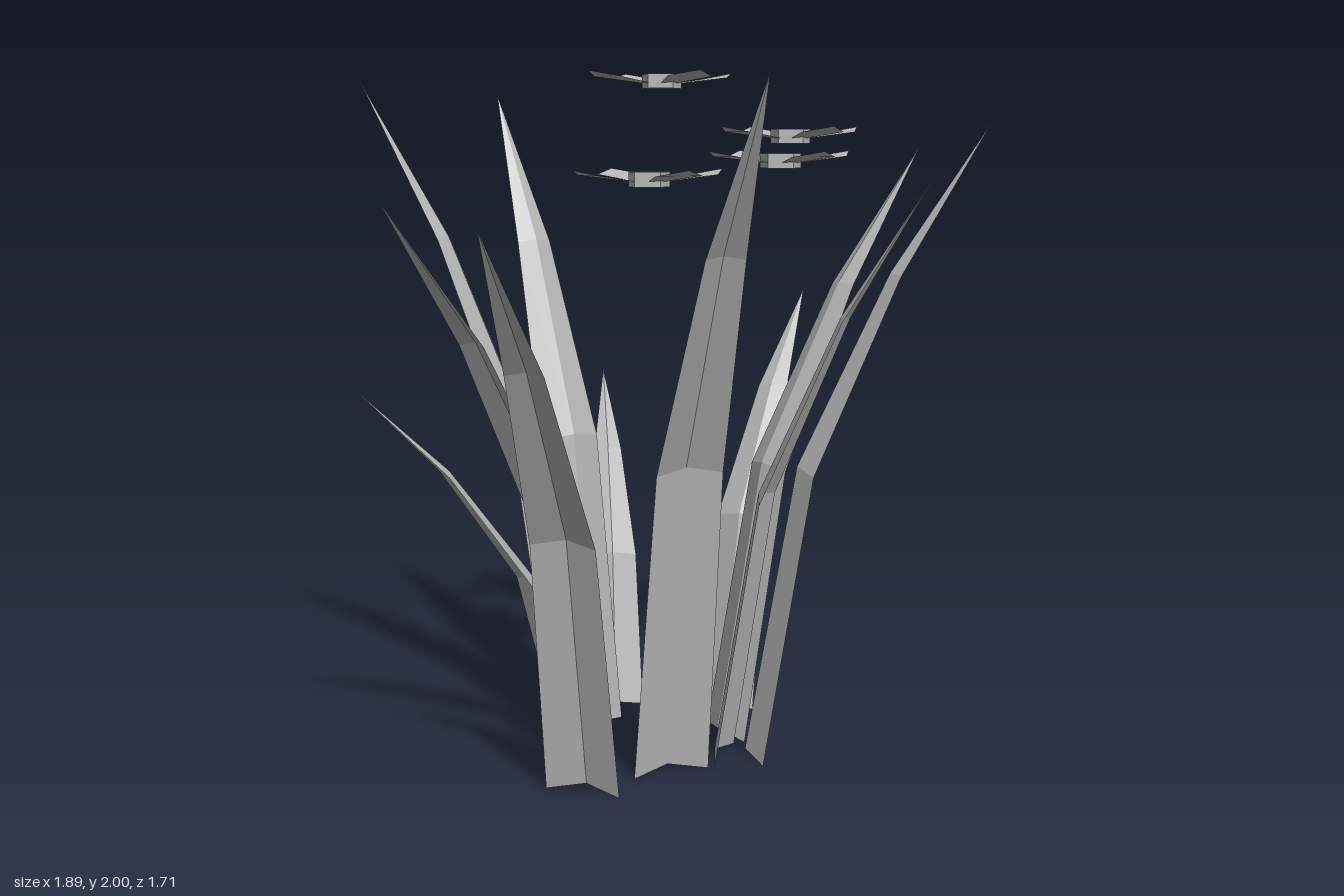
import * as THREE from 'three';

const grey = new THREE.MeshStandardMaterial({ color: 0xb8b8b8, flatShading: true, side: THREE.DoubleSide });
grey.name = 'pale grey';

// base centre x, z | tip x, y, z | base width
const LEAVES = [
  [0.08, -0.32, 0.36, 1.01, -0.86, 0.18],
  [-0.08, -0.2, -0.1, 1.94, -0.74, 0.23],
  [-0.18, -0.18, -0.62, 1.97, -0.61, 0.22],
  [-0.23, -0.07, -0.85, 1.13, -0.17, 0.2],
  [-0.26, 0.1, -0.95, 1.66, 0.28, 0.2],
  [-0.375, 0.26, -0.86, 1.6, 0.64, 0.22],
  [-0.085, 0.27, -0.19, 1.96, 0.85, 0.23],
  [0.12, 0.24, 0.49, 1.71, 0.68, 0.22],
  [0.21, 0.27, 0.83, 1.85, 0.53, 0.21],
  [0.24, 0.075, 0.94, 1.78, 0.1, 0.21],
  [0.375, -0.13, 0.94, 1.29, -0.48, 0.2],
];

// outward fraction, height fraction, width fraction along a leaf
const SECTIONS = [[0, 0, 1], [0.21, 0.46, 0.86], [0.59, 0.765, 0.5], [1, 1, 0]];

const FLOWERS = [
  [0.145, 1.97, -0.15], [0.46, 1.81, 0.07], [0.35, 1.74, 0.17], [-0.05, 1.69, 0.09],
];

function facets(points, index) {
  const g = new THREE.BufferGeometry();
  g.setAttribute('position', new THREE.Float32BufferAttribute(points, 3));
  g.setIndex(index);
  const flat = g.toNonIndexed();
  flat.computeVertexNormals();
  return flat;
}

// Arching blade: three points per section, with a ridge along the inner side
function leafGeometry([bx, bz, tx, ty, tz, width]) {
  const dx = tx - bx, dz = tz - bz, len = Math.hypot(dx, dz);
  const ux = dx / len, uz = dz / len;
  const points = [], index = [];
  SECTIONS.forEach(([out, up, w], i) => {
    const x = bx + dx * out, y = ty * up, z = bz + dz * out;
    const half = width * w / 2, fold = 0.03 * w;
    points.push(
      x + uz * half, y, z - ux * half,
      x - ux * fold, y + 0.018 * w, z - uz * fold,
      x - uz * half, y, z + ux * half,
    );
    if (i === 0) return;
    for (let k = 0; k < 2; k++) {
      const a = (i - 1) * 3 + k, b = a + 3;
      index.push(a, a + 1, b);
      if (w > 0) index.push(a + 1, b + 1, b);
    }
  });
  // close both halves at the shared tip
  return facets(points, index);
}

// Five-cornered petal along +z, rising to its tip
function petalGeometry() {
  const points = [
    -0.03, -0.005, 0.045, 0.03, -0.005, 0.045,
    0.077, 0.012, 0.155, 0, 0.028, 0.205, -0.077, 0.012, 0.155,
  ];
  return facets(points, [0, 1, 2, 0, 2, 4, 4, 2, 3]);
}

export function createModel() {
  const model = new THREE.Group();
  model.name = 'floweringPlant';

  // Rosette of leaves
  const leaves = new THREE.Group();
  leaves.name = 'leaves';
  for (const spec of LEAVES) {
    const leaf = new THREE.Mesh(leafGeometry(spec), grey);
    leaf.name = 'leaf';
    leaves.add(leaf);
  }
  model.add(leaves);

  // Floating four-petalled flowers, wider across x
  const petal = petalGeometry();
  const heart = new THREE.CylinderGeometry(0.062, 0.062, 0.042, 5);
  for (const position of FLOWERS) {
    const flower = new THREE.Group();
    flower.name = 'flower';
    flower.position.set(...position);
    const centre = new THREE.Mesh(heart, grey);
    centre.name = 'flowerCentre';
    flower.add(centre);
    for (let i = 0; i < 4; i++) {
      const mesh = new THREE.Mesh(petal, grey);
      mesh.name = 'petal';
      mesh.rotation.y = i * Math.PI / 2;
      if (i % 2) mesh.scale.set(0.85, 1, 1.23);
      flower.add(mesh);
    }
    model.add(flower);
  }
  return model;
}
